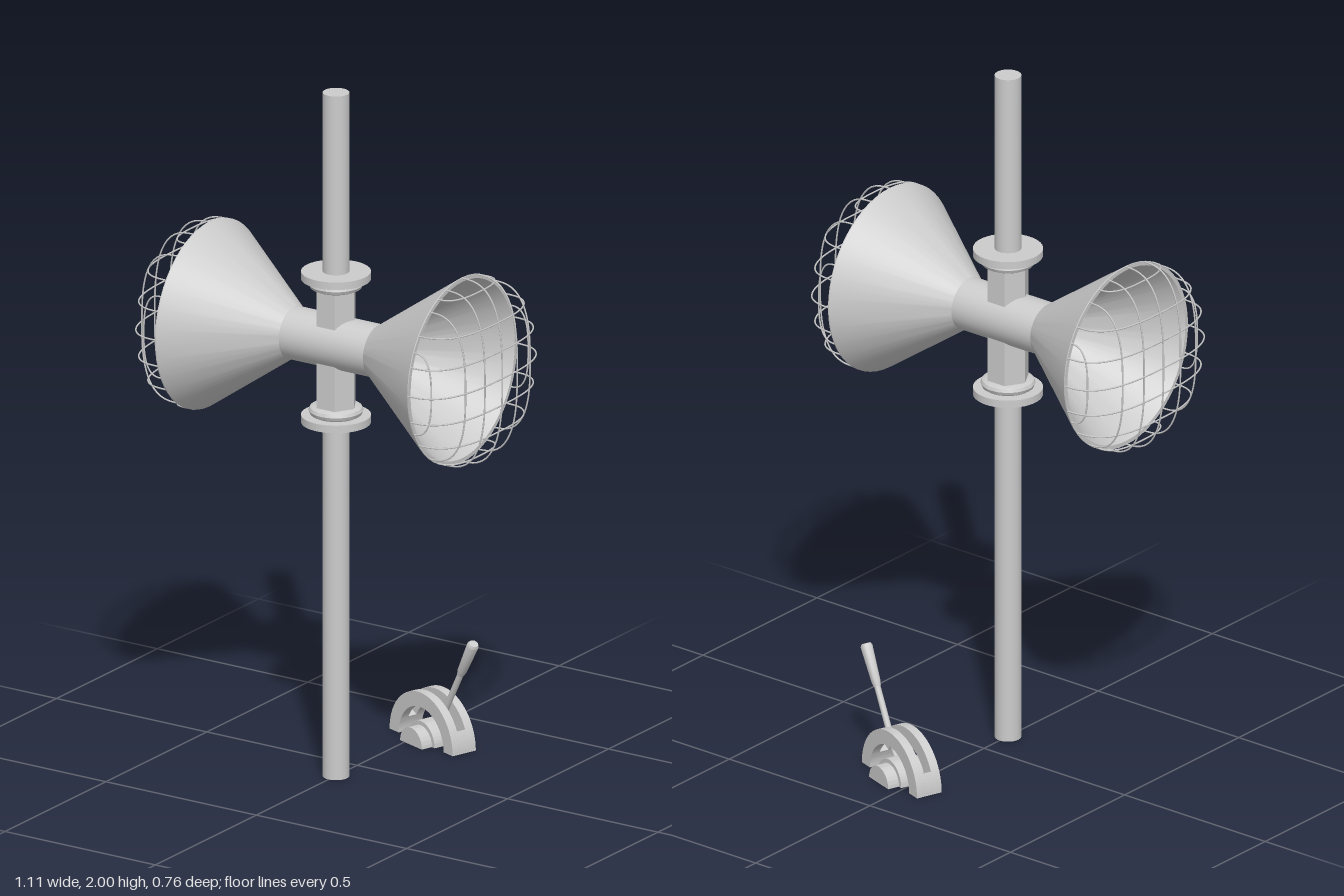
import * as THREE from 'three';
import { toCreasedNormals } from 'three/addons/utils/BufferGeometryUtils.js';

const grey = new THREE.MeshStandardMaterial({ color: 0xcccccc, side: THREE.DoubleSide });
const AXIS_Y = 1.27, POLE_Z = 0.105;

function add(parent, name, geometry, x = 0, y = 0, z = 0) {
  const mesh = new THREE.Mesh(geometry, grey);
  mesh.name = name;
  mesh.position.set(x, y, z);
  parent.add(mesh);
  return mesh;
}

function lathe(points, segments = 48) {
  const profile = points.map(([r, y]) => new THREE.Vector2(r, y));
  return toCreasedNormals(new THREE.LatheGeometry(profile, segments), 0.5);
}

// Ring sector (or half disc when rIn is 0) in the xy plane, centred on z
function sector(rOut, rIn, a0, a1, depth) {
  const s = new THREE.Shape();
  s.absarc(0, 0, rOut, a0, a1, false);
  if (rIn > 0) s.absarc(0, 0, rIn, a1, a0, true);
  else s.lineTo(0, 0);
  s.closePath();
  const g = new THREE.ExtrudeGeometry(s, { depth, bevelEnabled: false, curveSegments: 20 });
  g.translate(0, 0, -depth / 2);
  return toCreasedNormals(g, 0.5);
}

// U-shaped guard wire across the horn mouth; mouth lies at y = 0.42
function guardWire(halfSpan, depth) {
  const pts = [];
  for (let i = 0; i <= 24; i++) {
    const a = (Math.PI * i) / 24, c = Math.cos(a), s = Math.max(0, Math.sin(a));
    const p = 2 / 2.8;
    pts.push(new THREE.Vector3(
      halfSpan * Math.sign(c) * Math.abs(c) ** p, 0.42 + depth * s ** p, 0));
  }
  return new THREE.TubeGeometry(new THREE.CatmullRomCurve3(pts), 40, 0.0025, 5);
}

// Horn with its wire guard, opening along +y
function createHorn() {
  const horn = new THREE.Group();
  horn.name = 'horn';
  add(horn, 'hornShell', lathe([
    [0.075, 0.14], [0.27, 0.418], [0.27, 0.421], [0.258, 0.421], [0.063, 0.15], [0, 0.15],
  ], 56));
  const depths = [0.133, 0.129, 0.118, 0.058];
  for (let i = -3; i <= 3; i++) {
    const offset = i * 0.08;
    const wire = guardWire(Math.sqrt(0.268 ** 2 - offset ** 2), depths[Math.abs(i)]);
    add(horn, 'guardWire', wire, 0, 0, offset);
    add(horn, 'guardWire', wire, offset).rotation.y = Math.PI / 2;
  }
  return horn;
}

// Floor lever in a slotted half-round frame
function createLever() {
  const lever = new THREE.Group();
  lever.name = 'leverUnit';
  const R = 0.145, r = 0.103, end = 0.45;
  for (const side of [-1, 1]) {
    add(lever, 'frameCheek', sector(R, r, 0, Math.PI, 0.026), 0, 0, side * 0.027);
  }
  add(lever, 'frameEnd', sector(R, r, 0, end, 0.03));
  add(lever, 'frameEnd', sector(R, r, Math.PI - end, Math.PI, 0.03));
  add(lever, 'hub', sector(0.05, 0, 0, Math.PI, 0.15));
  add(lever, 'hubCollar', sector(0.062, 0, 0, Math.PI, 0.08));

  const arm = new THREE.Group();
  arm.name = 'arm';
  arm.rotation.z = -0.515;
  const rod = new THREE.CylinderGeometry(0.009, 0.009, 0.23, 12);
  add(arm, 'rod', rod, 0, 0.155, 0);
  add(arm, 'handle', lathe([
    [0, 0.26], [0.01, 0.26], [0.013, 0.275], [0.017, 0.375], [0.013, 0.383], [0, 0.383],
  ], 16));
  lever.add(arm);
  return lever;
}

export function createModel() {
  const model = new THREE.Group();
  model.name = 'hornPost';

  // Post
  add(model, 'pole', new THREE.CylinderGeometry(0.037, 0.037, 2, 32), 0, 1, POLE_Z);

  // Horn assembly around the post
  const head = new THREE.Group();
  head.name = 'hornHead';
  head.position.set(0, AXIS_Y, POLE_Z);
  model.add(head);
  const crossTube = new THREE.CylinderGeometry(0.075, 0.075, 0.284, 40);
  add(head, 'crossTube', crossTube).rotation.z = Math.PI / 2;

  const sleeve = new THREE.CylinderGeometry(0.06, 0.06, 0.4, 6).toNonIndexed();
  sleeve.rotateY(Math.PI / 6);
  sleeve.computeVertexNormals();
  add(head, 'sleeve', sleeve, 0, -0.008, 0);

  // Collars: a rounded ring with a wider flange outside it
  for (const [name, sign, inner] of [['upperCollar', 1, 0.158], ['lowerCollar', -1, 0.185]]) {
    const collar = new THREE.Group();
    collar.name = name;
    collar.position.y = sign * inner;
    if (sign < 0) collar.rotation.x = Math.PI;
    add(collar, 'ring', lathe([
      [0, 0], [0.064, 0], [0.072, 0.004], [0.076, 0.013], [0.072, 0.023], [0.064, 0.028], [0, 0.028],
    ]));
    add(collar, 'flange', new THREE.CylinderGeometry(0.097, 0.097, 0.022, 48), 0, 0.038, 0);
    head.add(collar);
  }

  // Two horns facing left and right
  for (const side of [-1, 1]) {
    const horn = createHorn();
    horn.rotation.z = -side * Math.PI / 2;
    head.add(horn);
  }

  const lever = createLever();
  lever.position.set(0.053, 0, -0.295);
  lever.rotation.y = -0.335;
  model.add(lever);
  return model;
}
